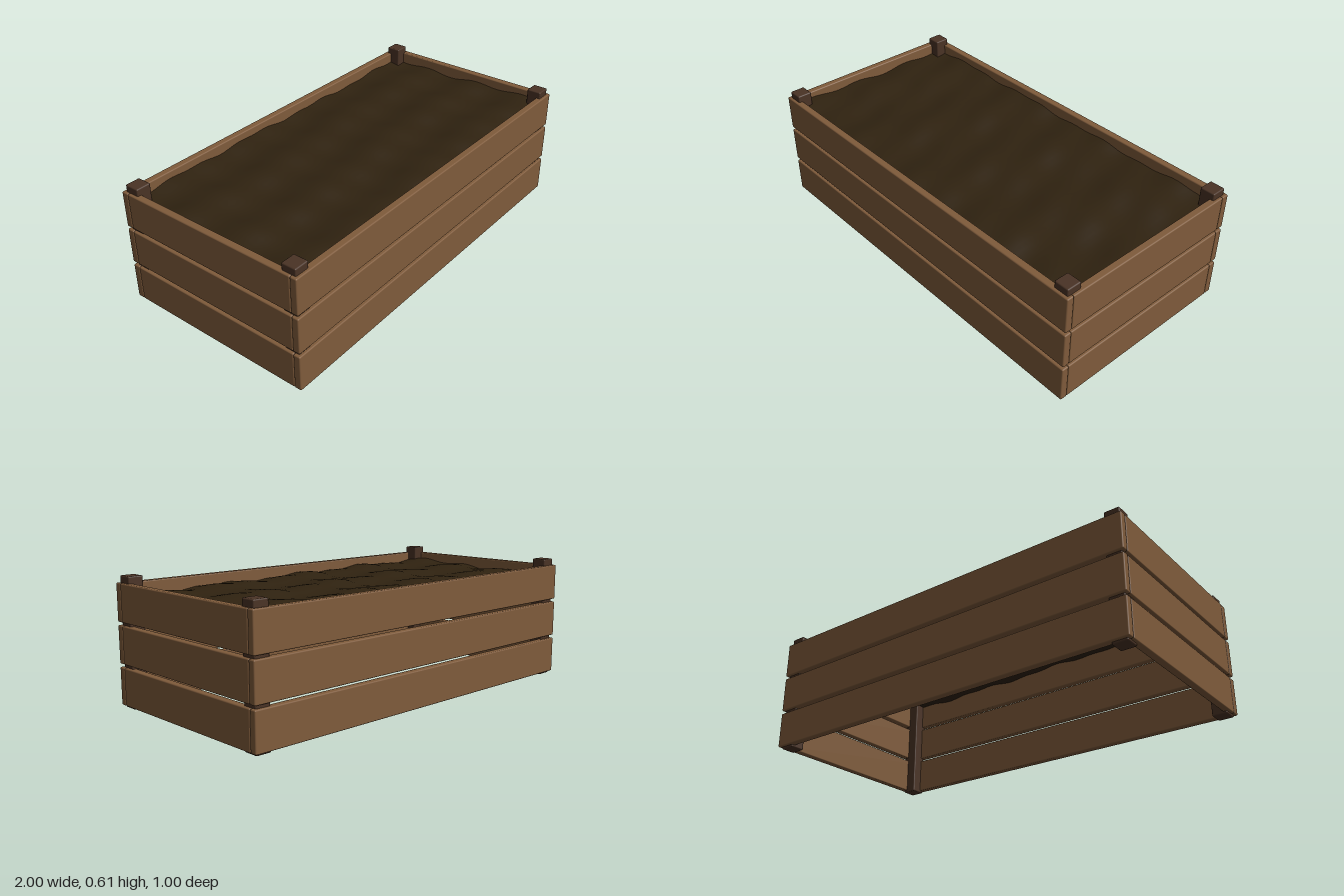
import * as THREE from 'three';
import { RoundedBoxGeometry } from 'three/addons/geometries/RoundedBoxGeometry.js';

const wood = new THREE.MeshStandardMaterial({ name: 'plank wood', color: 0x7f5b3b });
const darkWood = new THREE.MeshStandardMaterial({ name: 'post wood', color: 0x4a3325 });
const earth = new THREE.MeshStandardMaterial({ name: 'soil', color: 0x2f2210, side: THREE.DoubleSide });

// Box with small rounded edges
function block(name, size, pos, material) {
  const mesh = new THREE.Mesh(new RoundedBoxGeometry(...size, 2, 0.006), material);
  mesh.name = name;
  mesh.position.set(...pos);
  return mesh;
}

// Gently furrowed soil height
function soilHeight(x, z) {
  return 0.53
    + 0.008 * Math.sin(z * 21 + 0.8 * Math.sin(x * 3))
    + 0.006 * Math.sin(x * 13 + z * 4)
    + 0.004 * Math.sin(x * 29 - z * 9 + 1);
}

export function createModel() {
  const model = new THREE.Group();
  model.name = 'raisedPlanter';
  const t = 0.036; // plank thickness

  // Three rows of planks: long sides run full length, end planks fit between
  [0.1, 0.295, 0.489].forEach((y) => {
    for (const s of [1, -1]) {
      model.add(block(s > 0 ? 'frontPlank' : 'backPlank', [2, 0.179, t], [0, y, s * (0.5 - t / 2)], wood));
      model.add(block(s > 0 ? 'leftPlank' : 'rightPlank', [t, 0.179, 1 - 2 * t], [s * (1 - t / 2), y, 0], wood));
    }
  });

  // Corner posts
  for (const sx of [1, -1]) {
    for (const sz of [1, -1]) {
      model.add(block('cornerPost', [0.074, 0.612, 0.074], [sx * 0.949, 0.306, sz * 0.449], darkWood));
    }
  }

  // Uneven sheet of soil, open underneath
  const sheet = new THREE.PlaneGeometry(1.93, 0.93, 64, 32).rotateX(-Math.PI / 2);
  const p = sheet.attributes.position;
  for (let i = 0; i < p.count; i++) p.setY(i, soilHeight(p.getX(i), p.getZ(i)));
  sheet.computeVertexNormals();
  const soil = new THREE.Mesh(sheet, earth);
  soil.name = 'soil';
  model.add(soil);

  return model;
}
